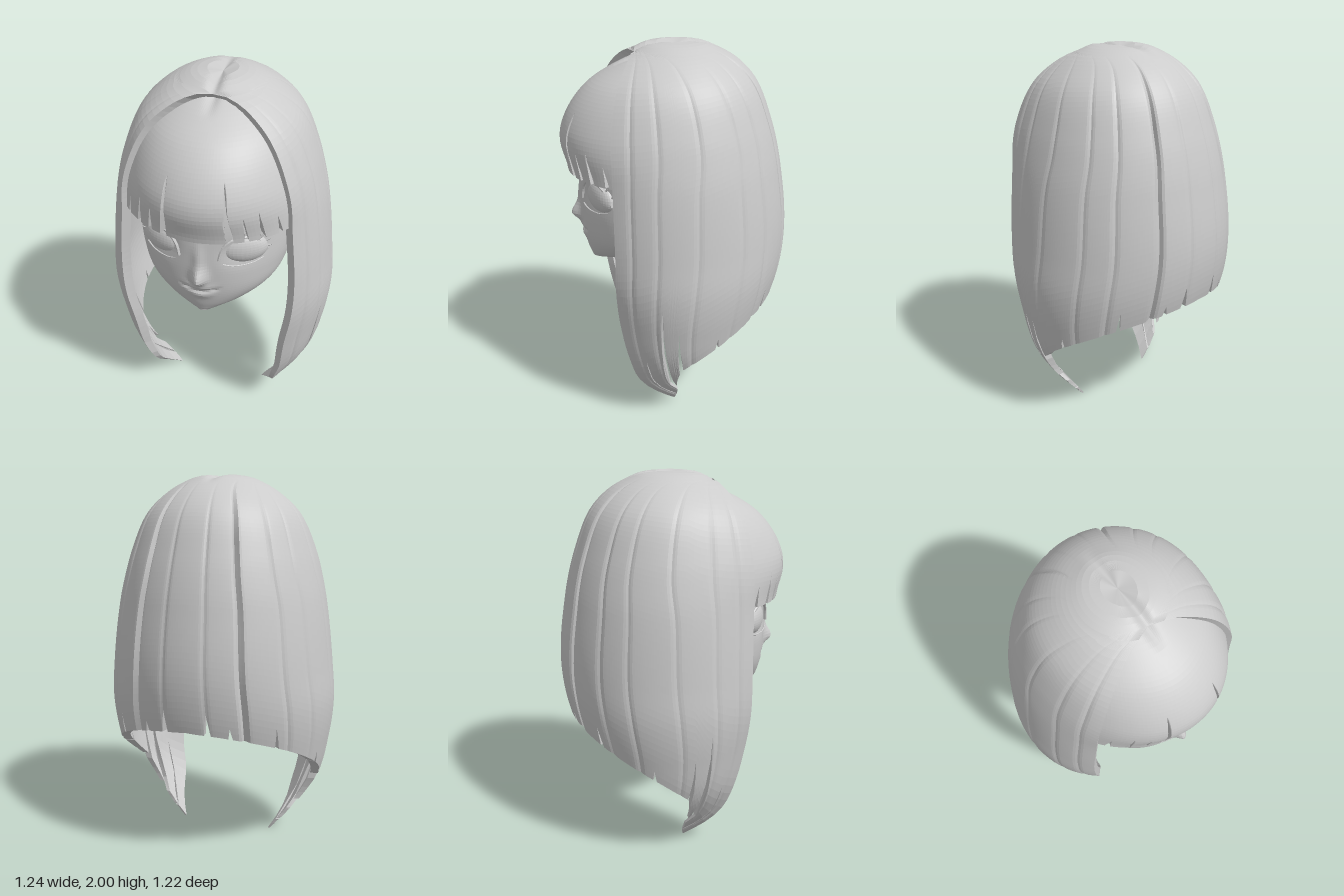
import * as THREE from 'three';

const mat = new THREE.MeshStandardMaterial({ color: 0xcccccc, flatShading: true });
const { clamp, lerp } = THREE.MathUtils;
const bump = (d, s) => Math.exp(-((d / s) ** 2));

// Smooth lookup of rows [key, value, value, ...]
function lookup(rows, key = (k) => k) {
  const sorted = rows.map(([k, ...v]) => [key(k), ...v]).sort((a, b) => a[0] - b[0]);
  const size = rows[0].length - 1;
  const curve = new THREE.CubicInterpolant(
    sorted.map((r) => r[0]), sorted.flatMap((r) => r.slice(1)), size, new Float32Array(size));
  return (k) => Array.from(curve.evaluate(key(k)));
}

// Surface through a grid of points: columns run around, rows run down
function gridMesh(name, columns) {
  const rows = columns[0].length, index = [];
  for (let i = 0; i < columns.length - 1; i++) {
    for (let j = 0; j < rows - 1; j++) {
      const a = i * rows + j, b = a + rows;
      index.push(a, a + 1, b, b, a + 1, b + 1);
    }
  }
  const g = new THREE.BufferGeometry();
  g.setAttribute('position', new THREE.Float32BufferAttribute(columns.flat(2), 3));
  g.setIndex(index);
  g.computeVertexNormals();
  return add(name, g);
}

function add(name, geometry) {
  const m = new THREE.Mesh(geometry, mat);
  m.name = name;
  return m;
}

// Hair dome by height: half width, front depth, back depth, z of the front edge
const dome = lookup([
  [2, 0, 0, 0, 0.1], [1.99, 0.125, 0.14, 0.14, 0.16], [1.96, 0.21, 0.215, 0.22, 0.22],
  [1.9, 0.305, 0.355, 0.325, 0.28], [1.8, 0.405, 0.5, 0.42, 0.335], [1.6, 0.495, 0.625, 0.505, 0.375],
  [1.5, 0.525, 0.638, 0.535, 0.38], [1.35, 0.56, 0.605, 0.567, 0.38], [1, 0.605, 0.59, 0.605, 0.38],
  [0.8, 0.62, 0.56, 0.585, 0.38], [0.6, 0.6, 0.51, 0.53, 0.36], [0.36, 0.54, 0.46, 0.45, 0.31],
  [0.2, 0.44, 0.43, 0.4, 0.25], [0, 0.27, 0.4, 0.3, 0.05],
], (y) => Math.sqrt(Math.max(0, 2 - y)));

function domePoint(theta, y, inset) {
  const [w, f, b] = dome(y);
  const c = Math.cos(theta);
  const x = Math.sin(theta) * Math.max(0, w - inset);
  const z = c * Math.max(0, (c > 0 ? f : b) - inset);
  const part = 0.025 * bump(x, 0.03) * clamp((z + 0.25) / 0.2, 0, 1) * clamp((y - 1.9) / 0.08, 0, 1);
  return [x, y - inset * clamp((y - 1.4) / 0.5, 0, 1) - part, z];
}

// Closed hair sheet with thickness; slits are [u, top, halfWidth] cut up from the hem
function hairSheet(name, { count, rows, thetaAt, hemAt, slits, grooves, top, inset, thick }) {
  const us = Array.from({ length: count + 1 }, (_, i) => i / count);
  slits.forEach(([c, , w]) => us.push(c - w, c - w / 2, c, c + w / 2, c + w));
  us.sort((a, b) => a - b);
  const sheets = us.map((u) => {
    const base = hemAt(u);
    let hem = base;
    for (const [c, tip, w] of slits) {
      const t = Math.abs(u - c) / w;
      if (t < 1) hem = Math.max(hem, lerp(tip, base, t));
    }
    const outer = [], inner = [];
    for (let j = 0; j <= rows; j++) {
      const y = Math.max(hem, top - (top - base) * (j / rows) ** 1.5);
      const fade = clamp((1.96 - y) / 0.3, 0, 1);
      const dent = fade * grooves.reduce((s, [c, d]) => s + d * bump(u - c, 0.005), 0);
      // Strands thin out toward the low tips
      const depth = thick * clamp(0.25 + y / 0.6, 0, 1);
      outer.push(domePoint(thetaAt(u, y), y, inset + dent));
      inner.push(domePoint(thetaAt(u, y), y, inset + depth));
    }
    return { outer, inner };
  });
  const first = sheets[0], last = sheets.at(-1);
  const group = new THREE.Group();
  group.name = name;
  group.add(
    gridMesh(name + 'Sheet', sheets.map((s) => [...s.outer, ...[...s.inner].reverse()])),
    gridMesh(name + 'LeftEdge', [first.inner, first.outer]),
    gridMesh(name + 'RightEdge', [last.outer, last.inner]));
  return group;
}

const mirrored = (list) => list.flatMap(([c, ...rest]) => [[c, ...rest], [1 - c, ...rest]]);

// Head by height: half width, front z, back z
const skull = lookup([
  [0.82, 0, 0.41, 0.4], [0.825, 0.035, 0.45, 0.3], [0.84, 0.085, 0.465, 0.2], [0.87, 0.165, 0.478, 0.08],
  [0.9, 0.23, 0.488, 0], [0.98, 0.335, 0.505, -0.13], [1.1, 0.392, 0.515, -0.25],
  [1.3, 0.415, 0.515, -0.36], [1.5, 0.41, 0.49, -0.4], [1.7, 0.33, 0.4, -0.33],
  [1.82, 0.18, 0.25, -0.18], [1.88, 0, 0.05, 0.05],
]);

// Nose, lips and eye sockets raised or sunk on the face
function relief(x, y) {
  const line = 1.0 + 0.018 * (x / 0.1) ** 2;
  const mouth = clamp((0.12 - Math.abs(x)) / 0.05, 0, 1);
  return 0.055 * bump(x, 0.035) * bump(y - 1.085, y > 1.085 ? 0.06 : 0.035)
    + 0.012 * bump(x, 0.03) * bump(y - 1.2, 0.08)
    + mouth * (0.009 * bump(y - line - 0.024, 0.022) * bump(x, 0.07) + 0.011 * bump(y - line + 0.028, 0.024) * bump(x, 0.06)
      - 0.009 * bump(y - line, 0.01))
    - 0.018 * bump(Math.abs(x) - 0.2, 0.09) * bump(y - 1.24, 0.07);
}

function headPoint(theta, y) {
  const [w, f, b] = skull(y);
  const x = Math.sin(theta) * Math.max(0, w);
  const c = Math.cos(theta);
  return [x, y, (f + b) / 2 + c * (f - b) / 2 + (c > 0 ? relief(x, y) : 0)];
}

function faceSpot(x, y, lift) {
  const [, , z] = headPoint(Math.asin(clamp(x / skull(y)[0], -1, 1)), y);
  return new THREE.Vector3(x, y, z + lift);
}

function tube(name, points, r) {
  return add(name, new THREE.TubeGeometry(new THREE.CatmullRomCurve3(points), 20, r, 6));
}

function makeEye(side) {
  const eye = new THREE.Group();
  eye.name = side > 0 ? 'leftEye' : 'rightEye';
  const g = new THREE.SphereGeometry(1, 32, 20);
  const p = g.attributes.position;
  for (let i = 0; i < p.count; i++) if (p.getY(i) < 0) p.setY(i, p.getY(i) * 0.85);
  const ball = add('eyeball', g);
  ball.scale.set(0.118, 0.09, 0.05);
  ball.position.set(side * 0.208, 1.243, 0.42);
  ball.rotation.y = side * 0.42;
  eye.add(ball);
  const spot = ([x, y]) => faceSpot(side * x, y, 0.012);
  eye.add(tube('upperLid', [[0.1, 1.21], [0.115, 1.27], [0.155, 1.318], [0.21, 1.332], [0.265, 1.31], [0.305, 1.26], [0.315, 1.225]].map(spot), 0.008));
  eye.add(tube('lowerLid', [[0.12, 1.185], [0.16, 1.172], [0.21, 1.168], [0.26, 1.172], [0.3, 1.185]].map(spot), 0.004));
  // Lashes fan out from the outer corner
  [[0.305, 1.24, 0.2], [0.3, 1.27, 0.5], [0.28, 1.3, 0.85]].forEach(([x, y, a]) => {
    const lash = add('eyelash', new THREE.ConeGeometry(0.009, 0.045, 5));
    lash.position.copy(spot([x + 0.018 * Math.cos(a), y + 0.018 * Math.sin(a)]));
    lash.rotation.z = side * (a - Math.PI / 2);
    eye.add(lash);
  });
  return eye;
}

export function createModel() {
  const model = new THREE.Group();
  model.name = 'headWithLongHair';

  // Long hair: crown, sides, back and the pointed front locks
  const lockHem = lookup([[0, 0], [0.035, 0.045], [0.064, 0.09], [0.11, 0.21], [0.132, 0.36]]);
  const backHem = lookup([[0.132, 0.36], [0.22, 0.5], [0.335, 0.64], [0.43, 0.71], [0.5, 0.73]]);
  model.add(hairSheet('longHair', {
    count: 200, rows: 56, top: 2, inset: 0, thick: 0.05,
    thetaAt(u, y) {
      const [, f, , edge] = dome(y);
      const start = Math.acos(clamp(edge / Math.max(f, 0.001), -1, 1));
      return lerp(start, 2 * Math.PI - start, u);
    },
    hemAt(u) {
      const m = Math.min(u, 1 - u);
      return (m < 0.132 ? lockHem : backHem)(m)[0];
    },
    slits: mirrored([[0.05, 0.4, 0.003], [0.098, 0.74, 0.009], [0.133, 0.62, 0.005], [0.22, 0.56, 0.004],
      [0.335, 0.75, 0.004], [0.42, 0.76, 0.004], [0.46, 0.84, 0.006]]),
    grooves: mirrored([[0.035, 0.006], [0.085, 0.005], [0.16, 0.005], [0.25, 0.006], [0.31, 0.008], [0.394, 0.028], [0.46, 0.005]]),
  }));

  // Fringe over the forehead
  model.add(hairSheet('fringe', {
    count: 60, rows: 36, top: 1.985, inset: 0.028, thick: 0.055,
    thetaAt: (u) => lerp(-1.12, 1.12, u),
    hemAt: (u) => 1.345 + 0.02 * Math.abs(u - 0.5),
    slits: mirrored([[0.36, 1.69, 0.016], [0.29, 1.5, 0.01], [0.22, 1.52, 0.012], [0.14, 1.46, 0.01]]),
    grooves: [],
  }));

  // Head, with columns crowded toward the face
  const columns = Array.from({ length: 121 }, (_, i) => {
    const a = (i / 120) * 2 * Math.PI;
    return Array.from({ length: 91 }, (_, j) =>
      headPoint(a - 0.5 * Math.sin(a), 1.35 + 0.53 * Math.cos((j / 90) * Math.PI)));
  });
  model.add(gridMesh('head', columns));

  const neck = add('neck', new THREE.CylinderGeometry(0.13, 0.1, 0.23, 16));
  neck.position.set(0, 0.885, 0.02);
  model.add(neck);

  for (const side of [1, -1]) {
    model.add(makeEye(side));
    const ear = add(side > 0 ? 'leftEar' : 'rightEar', new THREE.SphereGeometry(1, 14, 10));
    ear.scale.set(0.04, 0.1, 0.08);
    ear.position.set(side * 0.41, 1.155, 0.04);
    ear.rotation.z = -side * 0.15;
    model.add(ear);
  }
  return model;
}
